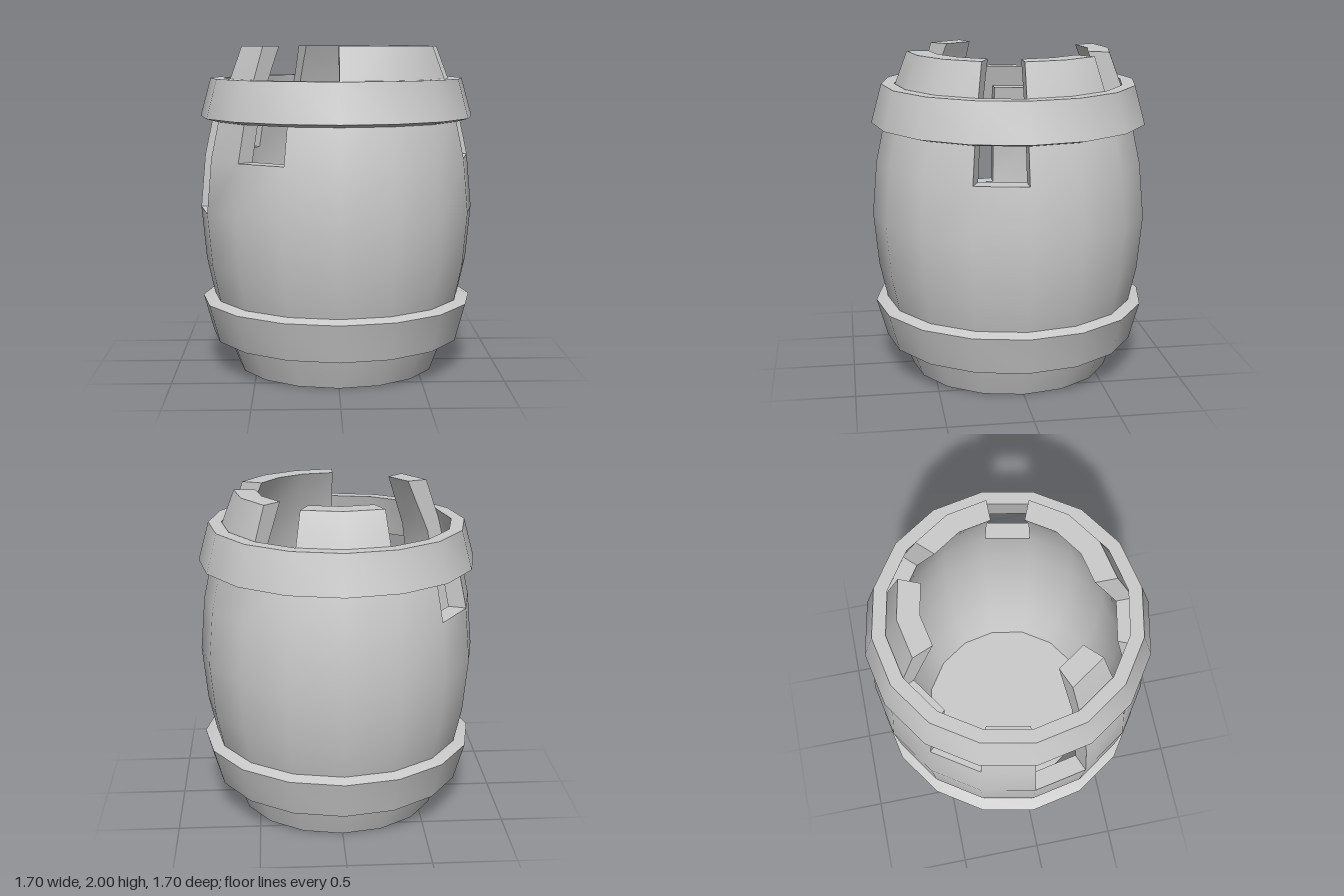
import * as THREE from 'three';
import { toCreasedNormals } from 'three/addons/utils/BufferGeometryUtils.js';

const SIDES = 16;
const CREASE = 0.6;
const ROW_Y = [0, 0.33, 0.67, 1, 1.33, 1.67, 2];
const OUTER = [0.62, 0.745, 0.82, 0.85, 0.82, 0.745, 0.62];
const INNER = [0.49, 0.64, 0.71, 0.74, 0.71, 0.64, 0.49];
// Row at which each stave is broken off, going round from +x towards +z
const TOP_ROW = [4, 6, 6, 6, 5, 4, 6, 3, 5, 4, 5, 6, 6, 5, 6, 6];

const material = new THREE.MeshStandardMaterial({ color: 0xcccccc });

function addMesh(group, name, geometry) {
  const mesh = new THREE.Mesh(toCreasedNormals(geometry, CREASE), material);
  mesh.name = name;
  group.add(mesh);
  return mesh;
}

// Bulging wall of thick staves, with cut faces wherever a neighbour is shorter
function staveGeometry() {
  const positions = [];
  const point = (radii, side, row) => {
    const a = ((side % SIDES) * Math.PI * 2) / SIDES;
    return [radii[row] * Math.cos(a), ROW_Y[row], radii[row] * Math.sin(a)];
  };
  const quad = (a, b, c, d) => positions.push(...a, ...b, ...c, ...a, ...c, ...d);

  for (let s = 0; s < SIDES; s++) {
    const top = TOP_ROW[s];
    const previous = TOP_ROW[(s + SIDES - 1) % SIDES];
    const next = TOP_ROW[(s + 1) % SIDES];
    const o = (side, row) => point(OUTER, side, row);
    const i = (side, row) => point(INNER, side, row);

    for (let r = 0; r < top; r++) {
      quad(o(s + 1, r), o(s, r), o(s, r + 1), o(s + 1, r + 1));
      quad(i(s, r), i(s + 1, r), i(s + 1, r + 1), i(s, r + 1));
      if (r >= previous) quad(o(s, r), i(s, r), i(s, r + 1), o(s, r + 1));
      if (r >= next) quad(i(s + 1, r), o(s + 1, r), o(s + 1, r + 1), i(s + 1, r + 1));
    }
    // Top and bottom ends
    quad(o(s + 1, top), o(s, top), i(s, top), i(s + 1, top));
    quad(o(s, 0), o(s + 1, 0), i(s + 1, 0), i(s, 0));
  }
  const geometry = new THREE.BufferGeometry();
  geometry.setAttribute('position', new THREE.Float32BufferAttribute(positions, 3));
  return geometry;
}

// Closed ring from a cross-section of [radius, y] corners
function hoopGeometry(section) {
  const points = [...section, section[0]].map(([r, y]) => new THREE.Vector2(r, y));
  return new THREE.LatheGeometry(points, SIDES);
}

export function createModel() {
  const group = new THREE.Group();
  group.name = 'brokenBarrel';

  addMesh(group, 'staves', staveGeometry());

  // Hoops flare towards the middle of the barrel
  addMesh(group, 'upperHoop', hoopGeometry([[0.77, 1.55], [0.845, 1.57], [0.78, 1.805], [0.7, 1.805]]));
  addMesh(group, 'lowerHoop', hoopGeometry([[0.7, 0.2], [0.78, 0.2], [0.845, 0.435], [0.77, 0.455]]));

  // Recessed floor
  const floor = addMesh(group, 'floor', new THREE.CylinderGeometry(0.55, 0.535, 0.03, SIDES));
  floor.position.y = 0.115;

  return group;
}
